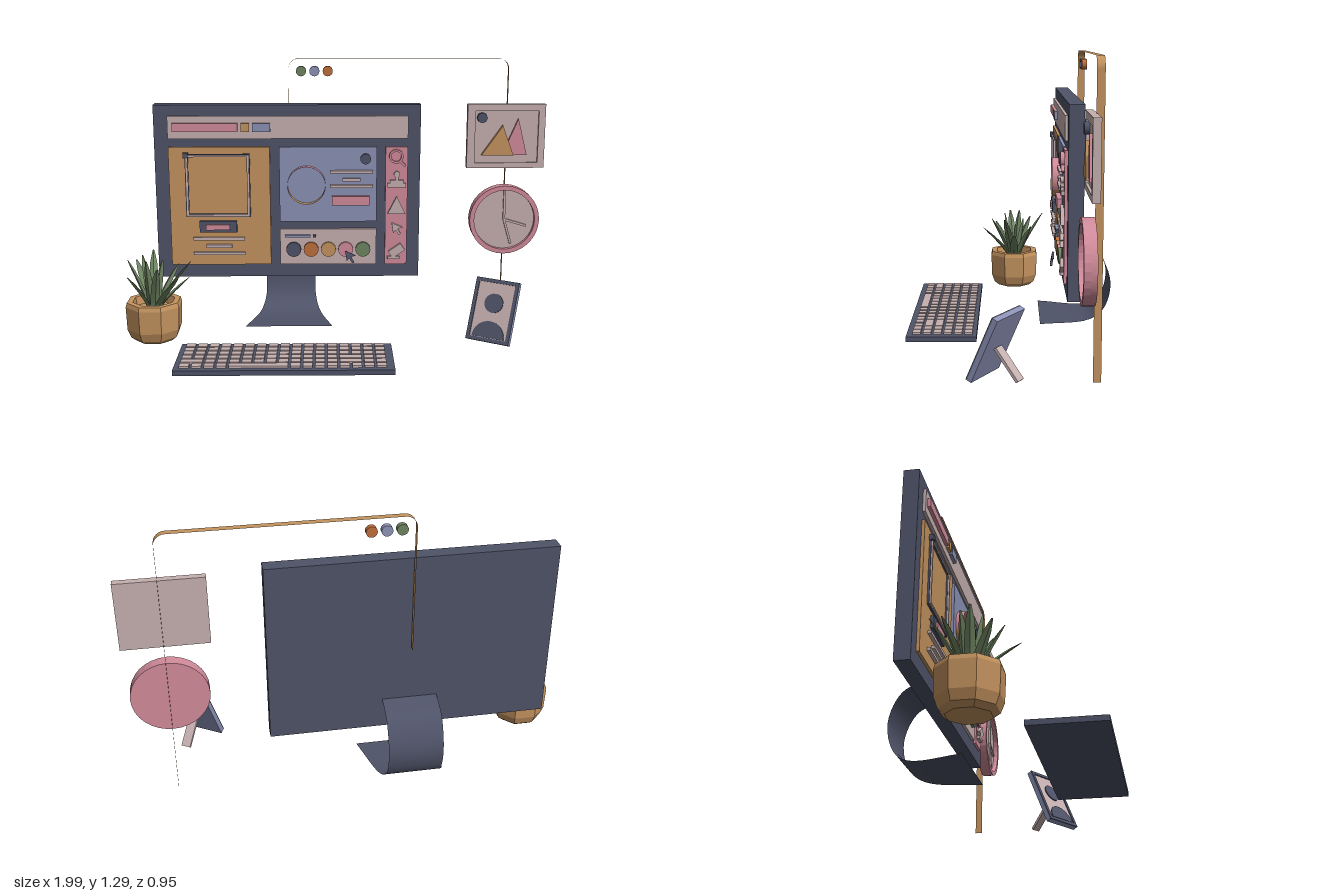
import * as THREE from 'three';

const C = { dark: 0x4f5368, tan: 0xc4935f, blue: 0x8c92b6, pale: 0xc6b0b0, pink: 0xd28c9b, green: 0x6f8562, orange: 0xbf6f3c };
const mats = {};
const mat = (c, flat = false, side = THREE.FrontSide) =>
  (mats[`${c}${flat}${side}`] ??= new THREE.MeshStandardMaterial({ color: C[c], flatShading: flat, side }));

function add(parent, name, geo, color, x = 0, y = 0, z = 0, flat = false, side) {
  const m = new THREE.Mesh(geo, mat(color, flat, side));
  m.name = name;
  m.position.set(x, y, z);
  parent.add(m);
  return m;
}
// Box given by its x, y and z limits
const slab = (p, name, c, x0, x1, y0, y1, z0, z1) =>
  add(p, name, new THREE.BoxGeometry(x1 - x0, y1 - y0, z1 - z0), c, (x0 + x1) / 2, (y0 + y1) / 2, (z0 + z1) / 2);
// Disc facing +z
const disc = (p, name, c, x, y, r, z0, z1, n = 24) =>
  add(p, name, new THREE.CylinderGeometry(r, r, z1 - z0, n).rotateX(Math.PI / 2), c, x, y, (z0 + z1) / 2);
// Extruded outline, optionally with a hole
function plate(p, name, c, pts, z0, z1, hole) {
  const s = new THREE.Shape(pts.map(q => new THREE.Vector2(...q)));
  if (hole) s.holes.push(new THREE.Path(hole.map(q => new THREE.Vector2(...q))));
  return add(p, name, new THREE.ExtrudeGeometry(s, { depth: z1 - z0, bevelEnabled: false }), c, 0, 0, z0);
}
const rect = (x0, x1, y0, y1) => [[x0, y0], [x1, y0], [x1, y1], [x0, y1]];
const circle = (r, n = 32) => Array.from({ length: n }, (_, i) => [r * Math.cos(i / n * 2 * Math.PI), r * Math.sin(i / n * 2 * Math.PI)]);
// Thin open sheet through pairs of edge points
function sheet(p, name, c, pairs) {
  const idx = [];
  for (let i = 0; i < pairs.length - 1; i++) { const a = i * 2; idx.push(a, a + 1, a + 2, a + 1, a + 3, a + 2); }
  const g = new THREE.BufferGeometry();
  g.setAttribute('position', new THREE.Float32BufferAttribute(pairs.flat(2), 3));
  g.setIndex(idx);
  g.computeVertexNormals();
  return add(p, name, g, c, 0, 0, 0, false, THREE.DoubleSide);
}
function group(parent, name, x = 0, y = 0, z = 0) {
  const g = new THREE.Group();
  g.name = name;
  g.position.set(x, y, z);
  parent.add(g);
  return g;
}

function buildMonitor(root) {
  const m = group(root, 'monitor');
  slab(m, 'monitorBody', 'dark', -0.88, 0.39, 0.235, 1.08, -0.31, -0.243);
  // Curved sheet stand: back curve, then a widening foot
  const curve = new THREE.CatmullRomCurve3([[-0.31, 0.38], [-0.42, 0.33], [-0.478, 0.2], [-0.45, 0.07], [-0.38, 0.018], [-0.14, 0.012]]
    .map(([z, y]) => new THREE.Vector3(0, y, z)), false, 'centripetal');
  sheet(m, 'stand', 'dark', curve.getPoints(30).map(({ y, z }) => {
    const w = 0.125 + (y < 0.2 ? 0.085 * Math.max(0, (z + 0.46) / 0.32) : 0);
    return [[-0.243 - w, y, z], [-0.243 + w, y, z]];
  }));

  const s = group(m, 'screen'), a = -0.245, b = -0.23, d = -0.215;
  // Top bar
  slab(s, 'topBar', 'pale', -0.813, 0.33, 0.92, 1.028, a, b);
  slab(s, 'addressField', 'pink', -0.79, -0.48, 0.955, 0.995, b, d);
  slab(s, 'topButton', 'tan', -0.465, -0.425, 0.955, 0.995, b, d);
  slab(s, 'topButton', 'blue', -0.41, -0.325, 0.955, 0.995, b, d);
  // Drawing panel
  slab(s, 'drawingPanel', 'tan', -0.813, -0.33, 0.3, 0.88, a, b);
  plate(s, 'canvasFrame', 'dark', rect(-0.735, -0.425, 0.54, 0.848), b, -0.222, rect(-0.72, -0.44, 0.555, 0.833));
  plate(s, 'canvasLine', 'pale', rect(-0.73, -0.43, 0.545, 0.843), b, d, rect(-0.722, -0.438, 0.553, 0.835));
  slab(s, 'canvasHandle', 'dark', -0.742, -0.718, 0.83, 0.855, b, -0.21);
  slab(s, 'panelButton', 'dark', -0.672, -0.492, 0.465, 0.52, b, d);
  slab(s, 'buttonInset', 'pink', -0.64, -0.525, 0.478, 0.505, d, -0.207);
  [[0.432, 0.125], [0.395, 0.062], [0.358, 0.125]].forEach(([y, w]) =>
    slab(s, 'textLine', 'pale', -0.58 - w, -0.58 + w, y - 0.007, y + 0.007, b, d));
  // Chart panel with an open donut ring
  slab(s, 'chartPanel', 'blue', -0.285, 0.182, 0.515, 0.88, a, b);
  const arc = (name, c, from, to) => sheet(s, name, c, Array.from({ length: 25 }, (_, i) => {
    const t = from + (to - from) * i / 24, x = -0.155 + 0.091 * Math.cos(t), y = 0.698 + 0.091 * Math.sin(t);
    return [[x, y, -0.195], [x, y, b]];
  }));
  arc('chartArc', 'pink', -0.6, Math.PI * 1.1);
  arc('chartArc', 'tan', Math.PI * 1.1, Math.PI * 2 - 0.6);
  disc(s, 'chartDot', 'dark', 0.128, 0.823, 0.025, b, d);
  [[0.76, 0.103], [0.722, 0.043], [0.69, 0.103]].forEach(([y, w]) =>
    slab(s, 'textLine', 'pale', 0.06 - w, 0.06 + w, y - 0.007, y + 0.007, b, d));
  slab(s, 'chartButton', 'pink', -0.032, 0.148, 0.598, 0.642, b, -0.208);
  // Palette panel
  slab(s, 'palettePanel', 'pale', -0.285, 0.182, 0.3, 0.477, a, b);
  slab(s, 'paletteLabel', 'blue', -0.262, -0.138, 0.438, 0.45, b, d);
  slab(s, 'paletteTick', 'dark', -0.125, -0.112, 0.438, 0.45, b, d);
  ['dark', 'orange', 'tan', 'pink', 'green'].forEach((c, i) => disc(s, 'swatch', c, -0.219 + i * 0.084, 0.377, 0.036, b, d));
  // Pointer shapes
  const arrow = [[0, 0], [0.052, -0.022], [0.03, -0.03], [0.045, -0.055], [0.035, -0.06], [0.02, -0.037], [0.008, -0.05]];
  const cursor = plate(s, 'cursor', 'dark', arrow, 0, 0.01);
  cursor.position.set(0.03, 0.375, -0.202);
  cursor.rotation.x = -0.2;
  // Toolbar with icons
  slab(s, 'toolbar', 'pink', 0.224, 0.33, 0.3, 0.88, a, b);
  const lens = plate(s, 'magnifierRing', 'pink', circle(0.034, 20), 0, 0.016, circle(0.024, 20));
  lens.position.set(0.274, 0.835, b);
  const grip = slab(s, 'magnifierHandle', 'pink', 0.288, 0.323, 0.794, 0.806, b, d);
  grip.rotation.z = -0.8;
  slab(s, 'stampBase', 'pale', 0.234, 0.322, 0.685, 0.705, b, d);
  slab(s, 'stampBody', 'pale', 0.246, 0.31, 0.705, 0.72, b, d);
  slab(s, 'stampHandle', 'pale', 0.271, 0.285, 0.72, 0.745, b, d);
  disc(s, 'stampKnob', 'pale', 0.278, 0.748, 0.015, b, d, 12);
  plate(s, 'triangleIcon', 'pale', [[0.235, 0.555], [0.321, 0.555], [0.278, 0.64]], b, d);
  plate(s, 'arrowIcon', 'pale', arrow, 0, 0.015).position.set(0.255, 0.51, b);
  const eraser = slab(s, 'eraserIcon', 'pale', 0.244, 0.316, 0.35, 0.39, b, d);
  eraser.rotation.z = 0.6;
  slab(s, 'eraserLine', 'pale', 0.236, 0.295, 0.328, 0.342, b, d);
}

function buildKeyboard(root) {
  const k = group(root, 'keyboard');
  slab(k, 'keyboardBase', 'dark', -0.72, 0.235, 0.01, 0.033, 0.152, 0.468);
  const px = 0.0533, pz = 0.0468;
  for (let r = 0; r < 6; r++) for (let c = 0; c < 17; c++) {
    let span = 1;
    if (r === 5 && c === 4) span = 5;
    else if ((r === 4 && (c === 0 || c === 13)) || (r === 3 && c === 13)) span = 2;
    const x = -0.695 + c * px, z = 0.171 + r * pz;
    slab(k, 'key', 'pale', x, x + px * span - 0.011, 0.033, 0.043, z, z + pz - 0.011);
    c += span - 1;
  }
}

function buildPlant(root) {
  const p = group(root, 'plant', -0.872, 0, -0.02);
  const profile = [[0, 0], [0.09, 0], [0.115, 0.02], [0.13, 0.06], [0.134, 0.17], [0.128, 0.19], [0.1, 0.19], [0.094, 0.15], [0, 0.15]];
  const pot = new THREE.LatheGeometry(profile.map(q => new THREE.Vector2(...q)), 8).rotateY(Math.PI / 8);
  add(p, 'pot', pot, 'tan', 0, 0, 0, true, THREE.DoubleSide);
  // Leaves: outward x, outward z, tip height
  [[0.185, 0.05, 0.39], [0.14, 0.165, 0.34], [0.04, 0.12, 0.37], [-0.1, 0.1, 0.33], [-0.11, 0.02, 0.39], [-0.09, -0.09, 0.36],
    [-0.02, -0.155, 0.39], [0.11, -0.09, 0.34], [0.17, 0, 0.3], [-0.02, 0.05, 0.39], [0.04, -0.05, 0.37], [-0.05, -0.03, 0.4]].forEach(([x, z, top]) => {
    const g = new THREE.CylinderGeometry(1, 1, 1, 4, 5), v = g.attributes.position, out = Math.hypot(x, z);
    for (let i = 0; i < v.count; i++) {
      const t = v.getY(i) + 0.5, w = 0.004 + 0.026 * Math.pow(1 - t, 0.6) * (0.6 + 0.8 * t);
      v.setXYZ(i, v.getX(i) * w, 0.14 + (top - 0.14) * t, v.getZ(i) * w * 0.45 + 0.02 + (out - 0.02) * Math.pow(t, 1.3));
    }
    add(p, 'leaf', g, 'green', 0, 0, 0, true).rotation.y = Math.atan2(x, z);
  });
}

function buildPhotoStand(root) {
  const g = group(root, 'photoStand', 0.715, 0.155, 0.06);
  g.rotation.y = -0.54;
  const f = group(g, 'photoFrame');
  f.rotation.x = -0.43;
  slab(f, 'frameBody', 'blue', -0.105, 0.105, -0.147, 0.147, -0.014, 0.008);
  plate(f, 'frameRim', 'dark', rect(-0.105, 0.105, -0.147, 0.147), 0.008, 0.014, rect(-0.088, 0.088, -0.13, 0.13));
  slab(f, 'photo', 'pale', -0.088, 0.088, -0.13, 0.13, 0.007, 0.009);
  disc(f, 'portraitHead', 'dark', 0, 0.035, 0.045, 0.009, 0.014);
  const half = circle(0.078).slice(0, 17).map(([x, y]) => [x, y - 0.128]);
  plate(f, 'portraitShoulders', 'dark', half, 0.009, 0.014);
  // Rear prop
  const prop = add(g, 'prop', new THREE.BoxGeometry(0.045, 0.158, 0.013), 'pale', 0, -0.073, -0.062);
  prop.rotation.x = 0.7;
}

function buildWallDecor(root) {
  const w = group(root, 'wallDecor');
  // Hanging ribbon arch with rounded corners
  const pts = [[-0.24, 0.65]], r = 0.05;
  for (let i = 0; i <= 8; i++) { const t = Math.PI - i * Math.PI / 16; pts.push([-0.24 + r + r * Math.cos(t), 1.24 + r * Math.sin(t)]); }
  for (let i = 0; i <= 8; i++) { const t = Math.PI / 2 - i * Math.PI / 16; pts.push([0.815 - r + r * Math.cos(t), 1.24 + r * Math.sin(t)]); }
  pts.push([0.815, 0.03]);
  sheet(w, 'archRibbon', 'tan', pts.map(([x, y]) => [[x, y, -0.32], [x, y, -0.352]]));
  ['green', 'blue', 'orange'].forEach((c, i) => disc(w, 'wallDot', c, -0.18 + i * 0.064, 1.23, 0.024, -0.348, -0.324));
  // Picture
  const p = group(w, 'picture');
  slab(p, 'pictureBack', 'pale', 0.62, 0.995, 0.765, 1.075, -0.325, -0.305);
  plate(p, 'pictureFrame', 'pale', rect(0.62, 0.995, 0.765, 1.075), -0.305, -0.293, rect(0.658, 0.963, 0.79, 1.043));
  plate(p, 'farMountain', 'pink', [[0.79, 0.828], [0.91, 0.828], [0.865, 1.005]], -0.305, -0.29);
  plate(p, 'nearMountain', 'tan', [[0.69, 0.828], [0.845, 0.828], [0.79, 0.973]], -0.305, -0.282);
  disc(p, 'pictureSun', 'dark', 0.69, 1.01, 0.025, -0.305, -0.283, 8);
  // Clock
  const k = group(w, 'clock', 0.81, 0.51, 0);
  disc(k, 'clockBack', 'pink', 0, 0, 0.17, -0.32, -0.295, 32);
  plate(k, 'clockRim', 'pink', circle(0.17), -0.295, -0.268, circle(0.148));
  disc(k, 'clockFace', 'pale', 0, 0, 0.148, -0.296, -0.29, 32);
  [[0, 0.145], [0.108, -0.032], [0.036, -0.122]].forEach(([x, y]) => {
    const hand = add(k, 'clockHand', new THREE.BoxGeometry(Math.hypot(x, y), 0.011, 0.01), 'pale', x / 2, y / 2, -0.283);
    hand.rotation.z = Math.atan2(y, x);
  });
}

export function createModel() {
  const root = new THREE.Group();
  root.name = 'deskSetup';
  [buildMonitor, buildKeyboard, buildPlant, buildPhotoStand, buildWallDecor].forEach(build => build(root));
  return root;
}
